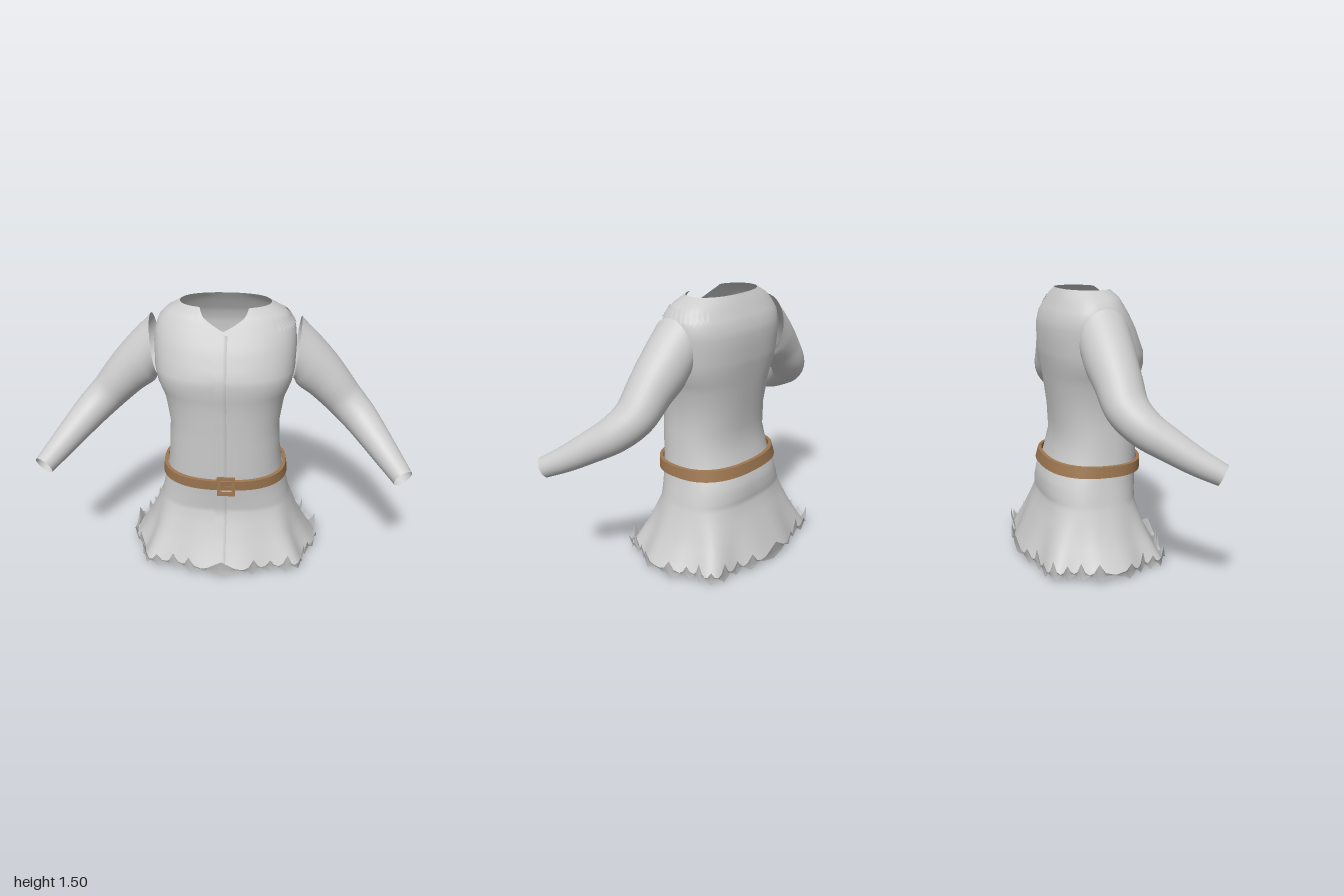
import * as THREE from 'three';
import { mergeVertices } from 'three/addons/utils/BufferGeometryUtils.js';

const V = (x, y, z) => new THREE.Vector3(x, y, z);

// Cross-sections of the tunic: y, half width, front z, back z, squareness
const ROWS = [
  [0.00, 0.520, 0.385, -0.390, 3.0],
  [0.04, 0.510, 0.375, -0.380, 3.0],
  [0.10, 0.475, 0.345, -0.355, 3.0],
  [0.20, 0.425, 0.300, -0.315, 2.9],
  [0.34, 0.375, 0.250, -0.262, 2.7],
  [0.40, 0.360, 0.255, -0.265, 2.6],
  [0.47, 0.342, 0.262, -0.257, 2.5],
  [0.56, 0.322, 0.272, -0.220, 2.4],
  [0.70, 0.308, 0.276, -0.186, 2.4],
  [0.85, 0.302, 0.280, -0.195, 2.4],
  [1.00, 0.325, 0.286, -0.215, 2.4],
  [1.10, 0.362, 0.298, -0.229, 2.5],
  [1.17, 0.375, 0.296, -0.238, 2.5],
  [1.30, 0.380, 0.243, -0.240, 2.5],
  [1.37, 0.372, 0.205, -0.222, 2.5],
  [1.42, 0.352, 0.178, -0.195, 2.4],
  [1.46, 0.315, 0.155, -0.172, 2.4],
  [1.50, 0.240, 0.115, -0.145, 2.3],
];

// Point on the tunic at angle th (0 = front, PI/2 = left) and height y
function surf(th, y, off = 0) {
  let i = 0;
  while (i < ROWS.length - 2 && y > ROWS[i + 1][0]) i++;
  const t = (y - ROWS[i][0]) / (ROWS[i + 1][0] - ROWS[i][0]);
  const [, a, zf, zb, n] = ROWS[i].map((v, k) => v + (ROWS[i + 1][k] - v) * t);
  const wave = 1 + 0.05 * Math.max(0, 1 - y / 0.34) * Math.cos(8 * th);
  const p = (v) => Math.sign(v) * Math.pow(Math.abs(v), 2 / n);
  return V((a + off) * wave * p(Math.sin(th)), y,
    (zf + zb) / 2 + ((zf - zb) / 2 + off) * wave * p(Math.cos(th)));
}

// Smooth surface from a grid of points fn(u, v), u and v in 0..1
function grid(nu, nv, fn) {
  const pos = [], idx = [];
  for (let j = 0; j <= nv; j++)
    for (let i = 0; i <= nu; i++) pos.push(...fn(i / nu, j / nv).toArray());
  for (let j = 0; j < nv; j++)
    for (let i = 0; i < nu; i++) {
      const a = j * (nu + 1) + i, d = a + nu + 1;
      idx.push(a, a + 1, d, a + 1, d + 1, d);
    }
  let g = new THREE.BufferGeometry();
  g.setAttribute('position', new THREE.Float32BufferAttribute(pos, 3));
  g.setIndex(idx);
  g = mergeVertices(g, 1e-5);
  g.computeVertexNormals();
  return g;
}

export function createModel() {
  const cloth = new THREE.MeshStandardMaterial({ color: 0xcccccc, side: THREE.DoubleSide });
  cloth.name = 'grey cloth';
  const leather = new THREE.MeshStandardMaterial({ color: 0x9c7650, side: THREE.DoubleSide });
  leather.name = 'brown leather';

  const model = new THREE.Group();
  model.name = 'tunic';
  const add = (name, geo, mat, parent = model) => {
    const m = new THREE.Mesh(geo, mat);
    m.name = name;
    parent.add(m);
    return m;
  };
  const TAU = Math.PI * 2;

  // Body and skirt, with a V cut into the front of the neck
  const neckY = (th) => Math.cos(th) > 0
    ? Math.min(1.5, 1.4 + 0.8 * Math.abs(surf(th, 1.5).x)) : 1.5;
  const heights = ROWS.map((r) => r[0]).slice(1);
  const bodyY = (th, v) => {
    const f = v * (heights.length - 1), i = Math.min(Math.floor(f), heights.length - 2);
    const y = heights[i] + (heights[i + 1] - heights[i]) * (f - i);
    return y < 1.17 ? y : 1.17 + (y - 1.17) * (neckY(th) - 1.17) / 0.33;
  };
  add('body', grid(120, (heights.length - 1) * 2, (u, v) =>
    surf(u * TAU, bodyY(u * TAU, v))), cloth);

  // Overlapping front edge, slightly proud of the body
  add('frontPlacket', grid(6, 40, (u, v) => {
    const y = 0.04 + v * 1.345;
    const base = surf(0, y, 0.006);
    const x = -0.045 + u * 0.07;
    const edge = surf(Math.asin(Math.pow(Math.abs(x) / 0.36, 1.25)), y, 0.006);
    return V(x, y, u === 1 ? edge.z - 0.008 : Math.min(base.z, edge.z));
  }), cloth);

  // Ragged hem: upright band with pointed teeth above and below
  const teeth = 30;
  add('raggedHem', grid(teeth * 4, 2, (u, v) => {
    const k = u * teeth, id = Math.floor(k + 0.5) % teeth;
    const tooth = 1 - 2 * Math.abs(k - Math.floor(k + 0.5));
    const size = 0.75 + 0.25 * Math.sin(id * 2.7);
    const low = 0.004 + 0.035 * (1 - tooth);
    const high = 0.05 + 0.08 * size * tooth * tooth;
    const p = surf(u * TAU, 0.04, v === 1 ? 0.018 : 0.006);
    p.y = v === 0 ? low : v === 1 ? high : 0.045;
    return p;
  }), cloth);

  // Torn strip on the left shoulder
  add('shoulderTear', grid(28, 1, (u, v) => {
    const zig = Math.round(u * 28) % 2;
    const y = v ? 1.435 + 0.02 * zig : 1.405 - 0.02 * zig;
    return surf(0.75 + u * 1.6, y, 0.007);
  }), cloth);

  // Sleeves: rings along a bent arm, upright at the shoulder
  const path = new THREE.CatmullRomCurve3([
    V(0.385, 1.25, -0.012), V(0.46, 1.165, -0.01), V(0.55, 1.075, -0.005), V(0.65, 0.965, 0.005),
    V(0.735, 0.885, 0.06), V(0.81, 0.815, 0.155), V(0.89, 0.74, 0.27), V(0.952, 0.685, 0.372),
  ]);
  // ring radii: across z, and across the arm
  const radii = [[0.138, 0.17], [0.134, 0.142], [0.122, 0.122], [0.112, 0.105],
    [0.098, 0.096], [0.084, 0.083], [0.068, 0.068], [0.055, 0.055]];
  const sleeveGeo = grid(32, 42, (u, v) => {
    const c = path.getPoint(v);
    const n = V(1, -0.1, 0).normalize().lerp(path.getTangent(v),
      THREE.MathUtils.smoothstep(v, -0.02, 0.28)).normalize();
    const e1 = V(0, 0, 1).addScaledVector(n, -n.z).normalize();
    const e2 = n.clone().cross(e1);
    const f = v * 7, i = Math.min(Math.floor(f), 6);
    const r = [0, 1].map((k) => THREE.MathUtils.lerp(radii[i][k], radii[i + 1][k], f - i));
    return c.addScaledVector(e1, r[0] * Math.cos(u * TAU))
      .addScaledVector(e2, r[1] * Math.sin(u * TAU));
  });
  add('leftSleeve', sleeveGeo, cloth);
  add('rightSleeve', sleeveGeo, cloth).scale.x = -1;

  // Belt: closed strap section swept around the waist
  const strap = [[0.517, 0.006], [0.515, 0.024], [0.573, 0.024], [0.575, 0.006]];
  for (let s = 0; s < 3; s++) {
    add(['beltUnderside', 'beltStrap', 'beltTop'][s], grid(96, 1, (u, v) => {
      const [y, off] = strap[s + v];
      const p = surf(u * TAU, 0.52 + (y - 0.515) * 0.6, off);
      p.y = y + 0.003 * (1 - Math.cos(u * TAU));
      return p;
    }), leather);
  }

  // Buckle: square frame, inner rim and prong
  const buckle = new THREE.Group();
  buckle.name = 'buckle';
  const frame = (w, h, t, d) => {
    const rect = (S, x, y) => new S([[-x, -y], [x, -y], [x, y], [-x, y]]
      .map(([a, b]) => new THREE.Vector2(a, b)));
    const shape = rect(THREE.Shape, w / 2, h / 2);
    shape.holes.push(rect(THREE.Path, w / 2 - t, h / 2 - t));
    return new THREE.ExtrudeGeometry(shape, { depth: d, bevelEnabled: false });
  };
  add('buckleFrame', frame(0.1, 0.112, 0.014, 0.012), leather, buckle);
  add('buckleRim', frame(0.072, 0.084, 0.006, 0.006), leather, buckle);
  add('buckleProng', new THREE.BoxGeometry(0.055, 0.008, 0.006), leather, buckle)
    .position.set(0.018, 0, 0.006);
  buckle.position.set(0.022, 0.545, 0.294);
  buckle.rotation.x = -0.05;
  model.add(buckle);

  return model;
}
